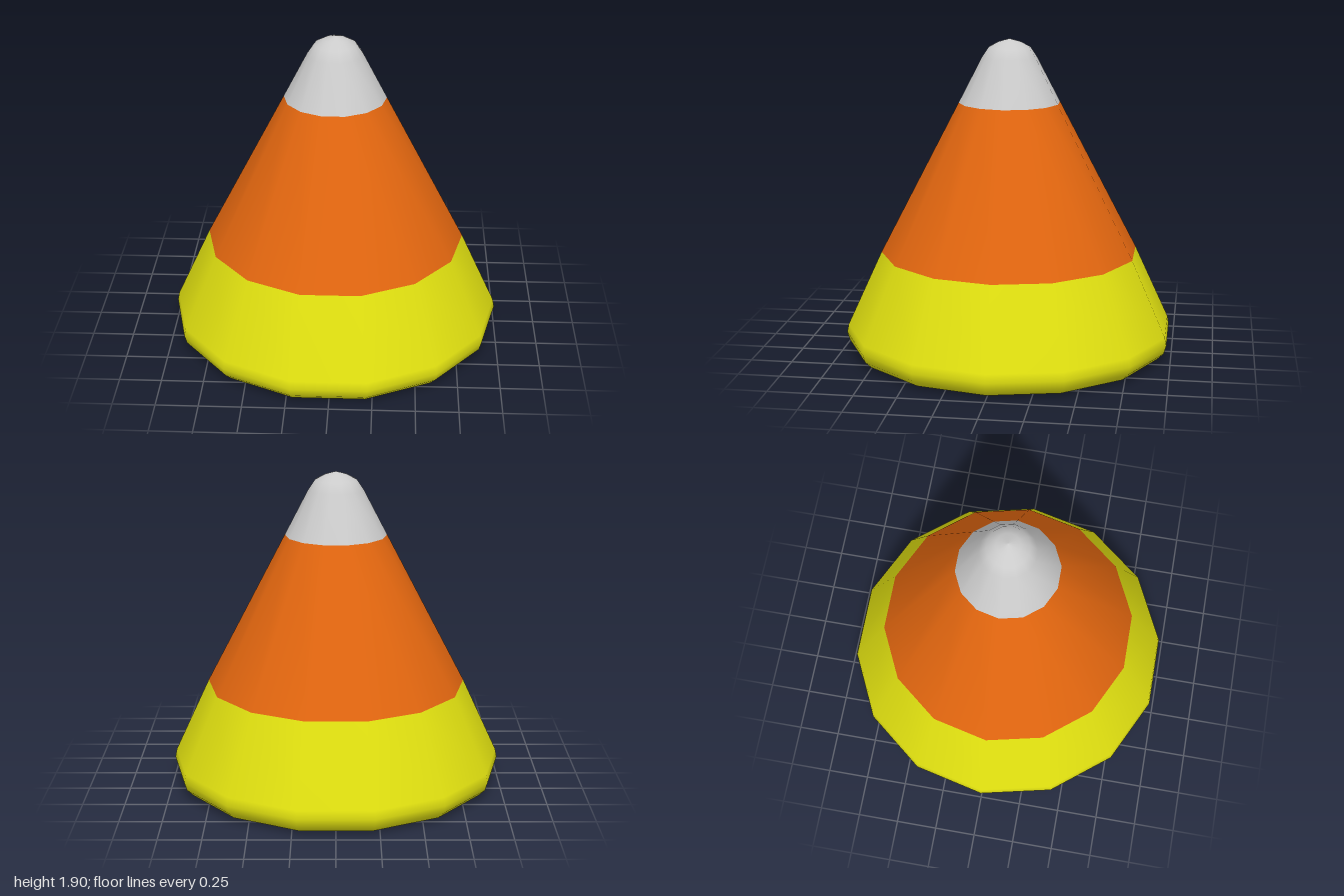
import * as THREE from 'three';

const SIDES = 14;

// One coloured band, revolved from a bottom-to-top profile of [radius, height]
function band(name, color, profile) {
  const points = profile.map(([r, y]) => new THREE.Vector2(r, y));
  const geometry = new THREE.LatheGeometry(points, SIDES, Math.PI / 2);
  const mesh = new THREE.Mesh(geometry, new THREE.MeshStandardMaterial({ color }));
  mesh.name = name;
  return mesh;
}

export function createModel() {
  const group = new THREE.Group();
  group.name = 'candyCorn';

  // Yellow base with a rounded lower rim
  const base = band('yellowBase', 0xe0e010, [
    [0.89, 0], [0.945, 0.02], [0.985, 0.06], [1, 0.11], [0.99, 0.16], [0.78, 0.615],
  ]);

  // Flat underside
  const underside = new THREE.Mesh(
    new THREE.CircleGeometry(0.89, SIDES).rotateX(Math.PI / 2),
    base.material,
  );
  underside.name = 'underside';

  // Orange middle
  const middle = band('orangeMiddle', 0xe2660f, [[0.78, 0.615], [0.305, 1.525]]);

  // Pale rounded tip
  const tip = band('paleTip', 0xcccccc, [
    [0.305, 1.525], [0.165, 1.795], [0.125, 1.855], [0.07, 1.885], [0, 1.905],
  ]);

  group.add(base, underside, middle, tip);
  return group;
}
